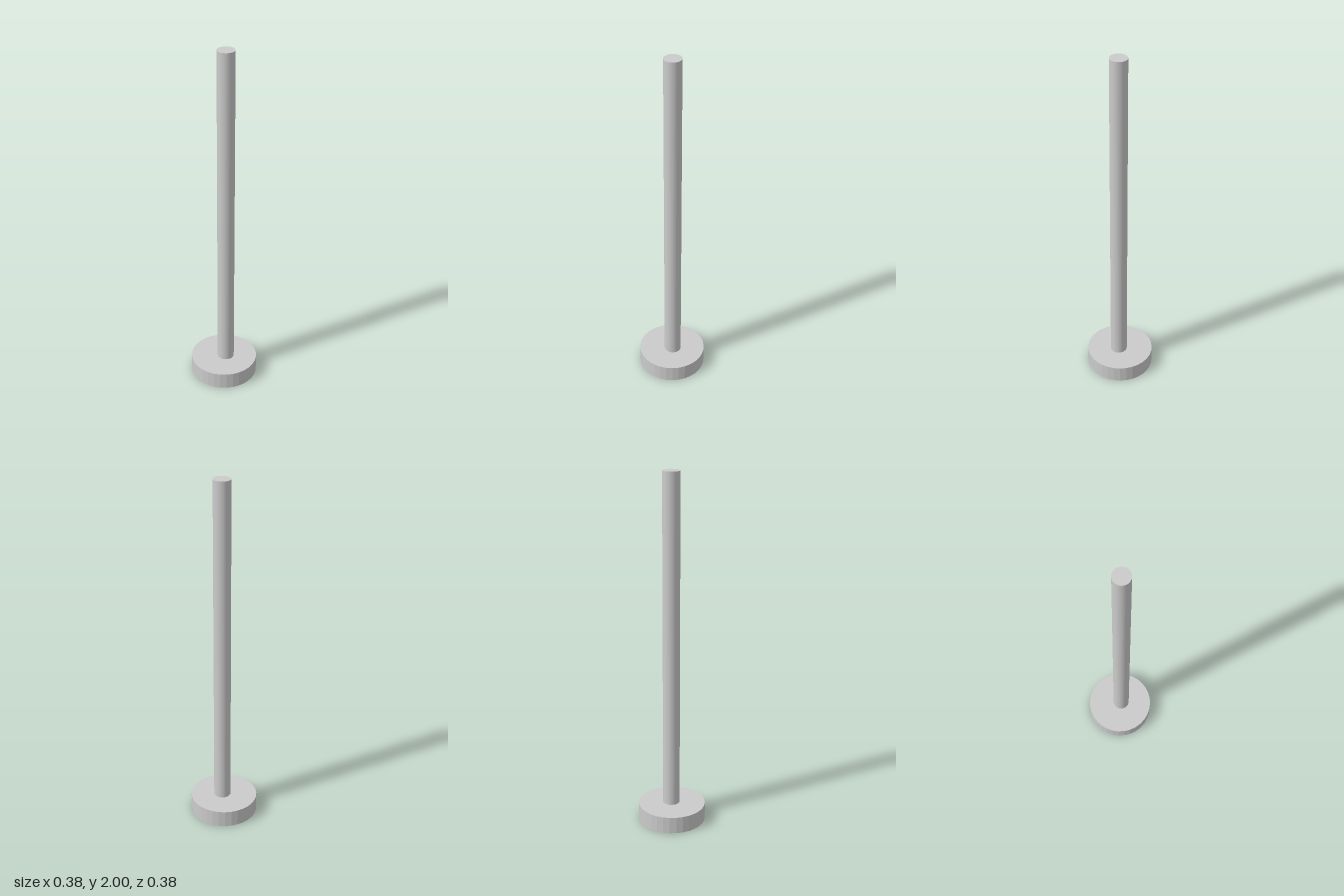
import * as THREE from 'three';

export function createModel() {
  const group = new THREE.Group();
  const material = new THREE.MeshStandardMaterial({ color: 0xcccccc, flatShading: true });

  // Upright cylinder standing on a given height
  const addCylinder = (name, radius, bottom, top, sides, x) => {
    const geometry = new THREE.CylinderGeometry(radius, radius, top - bottom, sides);
    const mesh = new THREE.Mesh(geometry, material);
    mesh.name = name;
    mesh.position.set(x, (bottom + top) / 2, 0);
    group.add(mesh);
  };

  // Faceted round foot
  addCylinder('base', 0.19, 0, 0.097, 32, 0);

  // Slender pole, set slightly off centre
  addCylinder('pole', 0.0475, 0.097, 2, 64, 0.01);

  return group;
}
